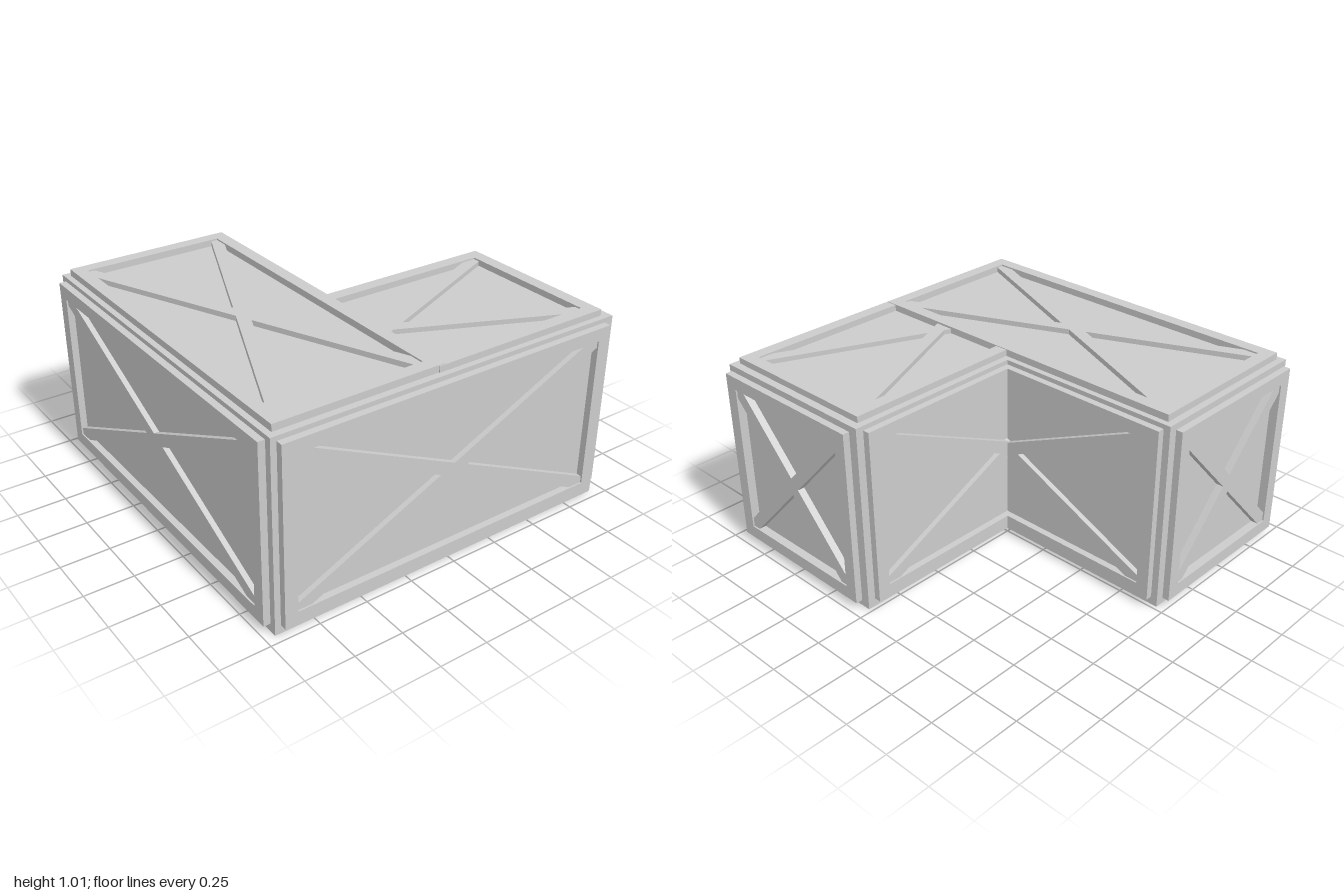
import * as THREE from 'three';
import { mergeGeometries } from 'three/addons/utils/BufferGeometryUtils.js';

const material = new THREE.MeshStandardMaterial({ color: 0xcccccc, flatShading: true });
const THICK = 0.035, BORDER = 0.066, BRACE = 0.032;

// Keep the part of a convex polygon with x >= cut
function clip(points, cut) {
  const out = [];
  points.forEach((p, i) => {
    const q = points[(i + 1) % points.length];
    if (p[0] >= cut) out.push(p);
    if ((p[0] >= cut) !== (q[0] >= cut)) {
      const t = (cut - p[0]) / (q[0] - p[0]);
      out.push([cut, p[1] + t * (q[1] - p[1])]);
    }
  });
  return out;
}

// Prism over a polygon, from z0 to z1
function prism(points, z0, z1) {
  const shape = new THREE.Shape(points.map(([x, y]) => new THREE.Vector2(x, y)));
  const geo = new THREE.ExtrudeGeometry(shape, { depth: z1 - z0, bevelEnabled: false });
  return geo.translate(0, 0, z0);
}

const rect = (x0, y0, x1, y1) => [[x0, y0], [x1, y0], [x1, y1], [x0, y1]];

// Raised border with a crossed pair of diagonal braces, facing +z
function panel({ name, size, at, turn = [0, 0, 0], gap = 0, thick = THICK, cut = -9 }) {
  const W = size[0] / 2, H = size[1] / 2;
  const w = W - BORDER, h = H - BORDER;
  const bars = [
    rect(-W, h, W, H), rect(-W, -H, W, -h),
    rect(-W, -h, -w, h), rect(w, -h, W, h),
  ];
  const angle = Math.atan2(h, w);
  const a = BRACE / Math.sin(angle), b = BRACE / Math.cos(angle);
  const brace = [[-w, -h], [a - w, -h], [w, h - b], [w, h], [w - a, h], [-w, b - h]];
  const mirrored = brace.map(([x, y]) => [-x, y]).reverse();

  const parts = [];
  const add = (points, z0, z1) => {
    const kept = clip(points, cut);
    if (kept.length > 2) parts.push(prism(kept, z0, z1));
  };
  bars.forEach((p) => add(p, gap, gap + thick));
  [brace, mirrored].forEach((p) => add(p, 0, gap + thick - 0.008));
  // Backing strip that carries a border standing off the wall
  if (gap) {
    const W2 = w + 0.02, H2 = h + 0.02;
    [rect(-W2, h, W2, H2), rect(-W2, -H2, W2, -h), rect(-W2, -h, -w, h), rect(w, -h, W2, h)]
      .forEach((p) => add(p, 0, gap));
  }

  const mesh = new THREE.Mesh(mergeGeometries(parts), material);
  mesh.name = name;
  mesh.position.set(...at);
  mesh.rotation.set(...turn);
  return mesh;
}

export function createModel() {
  const group = new THREE.Group();
  group.name = 'cornerCrate';

  // L-shaped solid body (plan drawn with y = -z)
  const plan = [[-0.95, -0.955], [0.93, -0.955], [0.93, -0.02], [-0.02, -0.02], [-0.02, 0.955], [-0.95, 0.955]];
  const body = new THREE.Mesh(prism(plan, 0, 0.975).rotateX(-Math.PI / 2), material);
  body.name = 'body';
  group.add(body);

  const Q = Math.PI / 2, midY = 0.497, tall = 0.91;
  const longX = 1.81, longZ = 1.84, short = 0.87;

  [
    // Wing running front to back
    { name: 'longTopPanel', size: [short, longZ], at: [-0.485, 0.975, 0], turn: [-Q, 0, 0] },
    { name: 'outerSidePanel', size: [longZ, tall], at: [-0.95, midY, 0], turn: [0, -Q, 0] },
    { name: 'innerSidePanel', size: [longZ, tall], at: [-0.02, midY, 0], turn: [0, Q, 0] },
    { name: 'backEndPanel', size: [short, tall], at: [-0.485, midY, -0.955], turn: [0, Math.PI, 0], gap: 0.01 },
    // Wing running left to right; its top stops under the other wing's border
    { name: 'shortTopPanel', size: [longX, short], at: [-0.015, 0.975, 0.49], turn: [-Q, 0, 0], thick: 0.032, cut: -0.065 },
    { name: 'frontPanel', size: [longX, tall], at: [-0.015, midY, 0.955] },
    { name: 'innerBackPanel', size: [longX, tall], at: [-0.015, midY, 0.02], turn: [0, Math.PI, 0] },
    { name: 'sideEndPanel', size: [short, tall], at: [0.93, midY, 0.49], turn: [0, Q, 0], gap: 0.01 },
  ].forEach((spec) => group.add(panel(spec)));

  return group;
}
